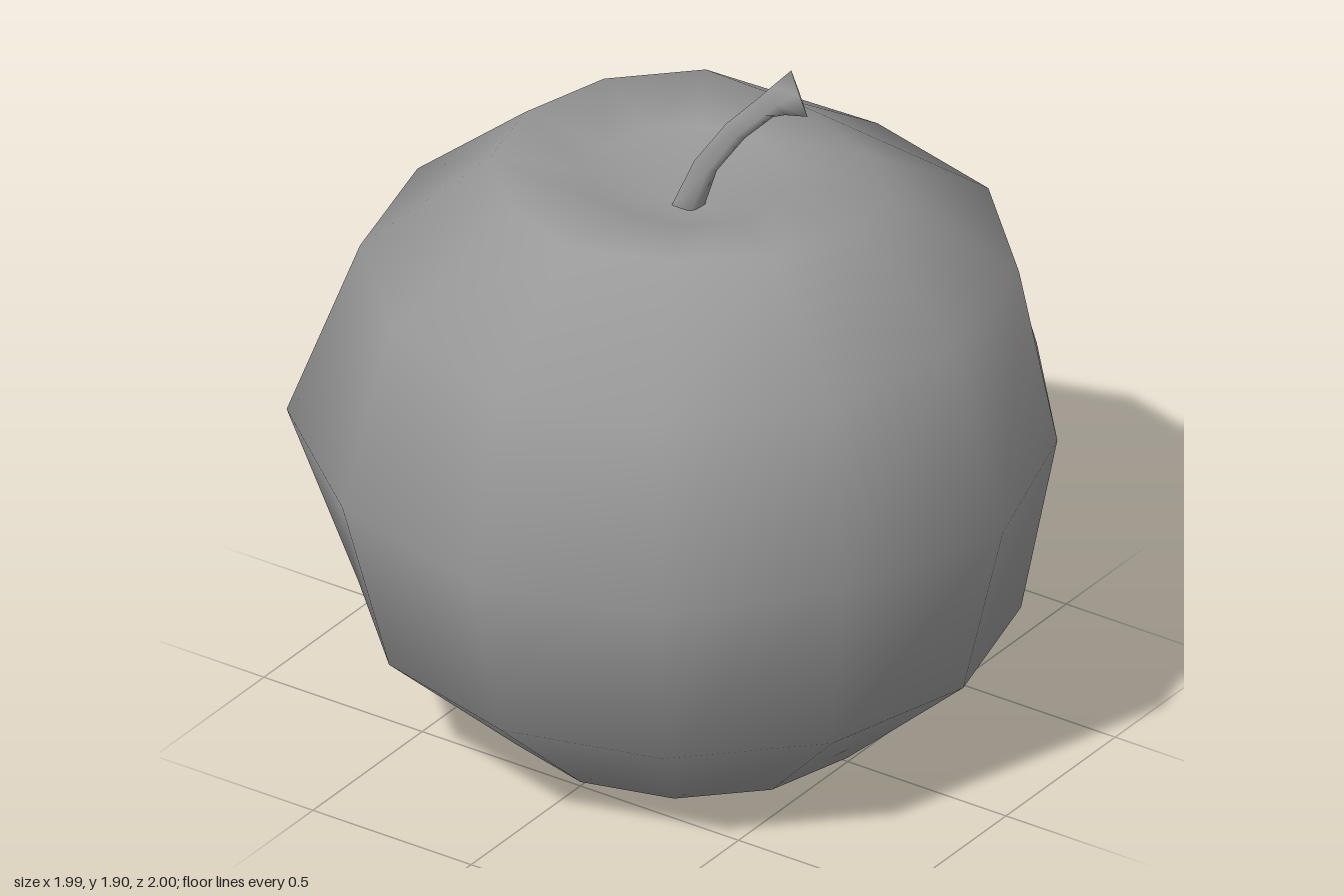
import * as THREE from 'three';

const SIDES = 12;

// Smooth closed surface through rings of points (bottom to top), with a pole at each end.
function loft(rings, bottom, top) {
  const n = rings[0].length;
  const pts = [...rings.flat(), bottom, top];
  const b = rings.length * n, t = b + 1, index = [];
  for (let j = 0; j < n; j++) {
    const k = (j + 1) % n;
    index.push(b, k, j);
    for (let i = 0; i < rings.length - 1; i++) {
      const p = i * n, q = p + n;
      index.push(p + j, p + k, q + k, p + j, q + k, q + j);
    }
    const l = (rings.length - 1) * n;
    index.push(l + j, l + k, t);
  }
  const g = new THREE.BufferGeometry().setFromPoints(pts);
  g.setIndex(index);
  g.computeVertexNormals();
  return g;
}

// Apple body: twelve-sided rings with a dent on top
function bodyGeometry() {
  const profile = [[0.5, 0.012], [0.865, 0.34], [1, 0.845], [0.86, 1.345], [0.52, 1.615], [0.27, 1.595]];
  const rings = profile.map(([r, y]) =>
    Array.from({ length: SIDES }, (_, j) => {
      const a = (j / SIDES) * Math.PI * 2;
      return new THREE.Vector3(r * Math.sin(a), y, r * Math.cos(a));
    }));

  // Hand-shaped irregularities: ring, side (0 is the front, 3 the left), x, y, z
  const nudges = [
    [2, 2, -0.05, 0, -0.01], [2, 3, -0.01, 0, 0], [2, 4, -0.035, 0, 0.02],
    [2, 7, 0.03, 0, -0.05], [2, 10, -0.045, 0, 0.025],
    [3, 0, 0, 0, 0.015], [3, 3, -0.03, 0, 0], [3, 9, 0, -0.01, 0],
    [4, 0, 0, 0.03, 0.045], [4, 1, 0, 0.02, 0], [4, 2, 0, 0.01, 0],
    [4, 4, 0, -0.06, 0], [4, 5, 0, -0.09, 0], [4, 6, 0, -0.005, 0.07],
    [4, 10, 0, 0.01, 0], [4, 11, 0, 0.02, 0],
    [5, 0, 0, 0.01, 0], [5, 4, 0, -0.02, 0], [5, 5, 0, -0.025, 0],
  ];
  for (const [i, j, x, y, z] of nudges) rings[i][j].add(new THREE.Vector3(x, y, z));
  return loft(rings, new THREE.Vector3(0, 0, 0), new THREE.Vector3(0, 1.5, 0));
}

// Bent four-sided stem with a flared, square-cut end: x, y, z, radius
function stemGeometry() {
  const path = [
    [-0.005, 1.48, 0.02, 0.044], [0.04, 1.63, -0.015, 0.034], [0.1, 1.73, -0.065, 0.033],
    [0.165, 1.8, -0.105, 0.034], [0.198, 1.826, -0.12, 0.042], [0.238, 1.843, -0.158, 0.064],
  ];
  const at = path.map(([x, y, z]) => new THREE.Vector3(x, y, z));
  const rings = path.map(([, , , r], i) => {
    const d = at[Math.min(i + 1, at.length - 1)].clone().sub(at[Math.max(i - 1, 0)]).normalize();
    const u = new THREE.Vector3(1, 0, 0).addScaledVector(d, -d.x).normalize();
    const v = u.clone().cross(d);
    return Array.from({ length: 4 }, (_, j) => {
      const a = ((j + 0.5) / 4) * Math.PI * 2;
      return at[i].clone().addScaledVector(u, r * Math.sin(a)).addScaledVector(v, r * Math.cos(a));
    });
  });
  return loft(rings, at[0], at[at.length - 1]);
}

export function createModel() {
  const model = new THREE.Group();
  model.name = 'apple';
  const material = new THREE.MeshStandardMaterial({ color: 0x999999 });
  const parts = { body: bodyGeometry(), stem: stemGeometry() };
  for (const [name, geometry] of Object.entries(parts)) {
    const mesh = new THREE.Mesh(geometry, material);
    mesh.name = name;
    model.add(mesh);
  }
  return model;
}
